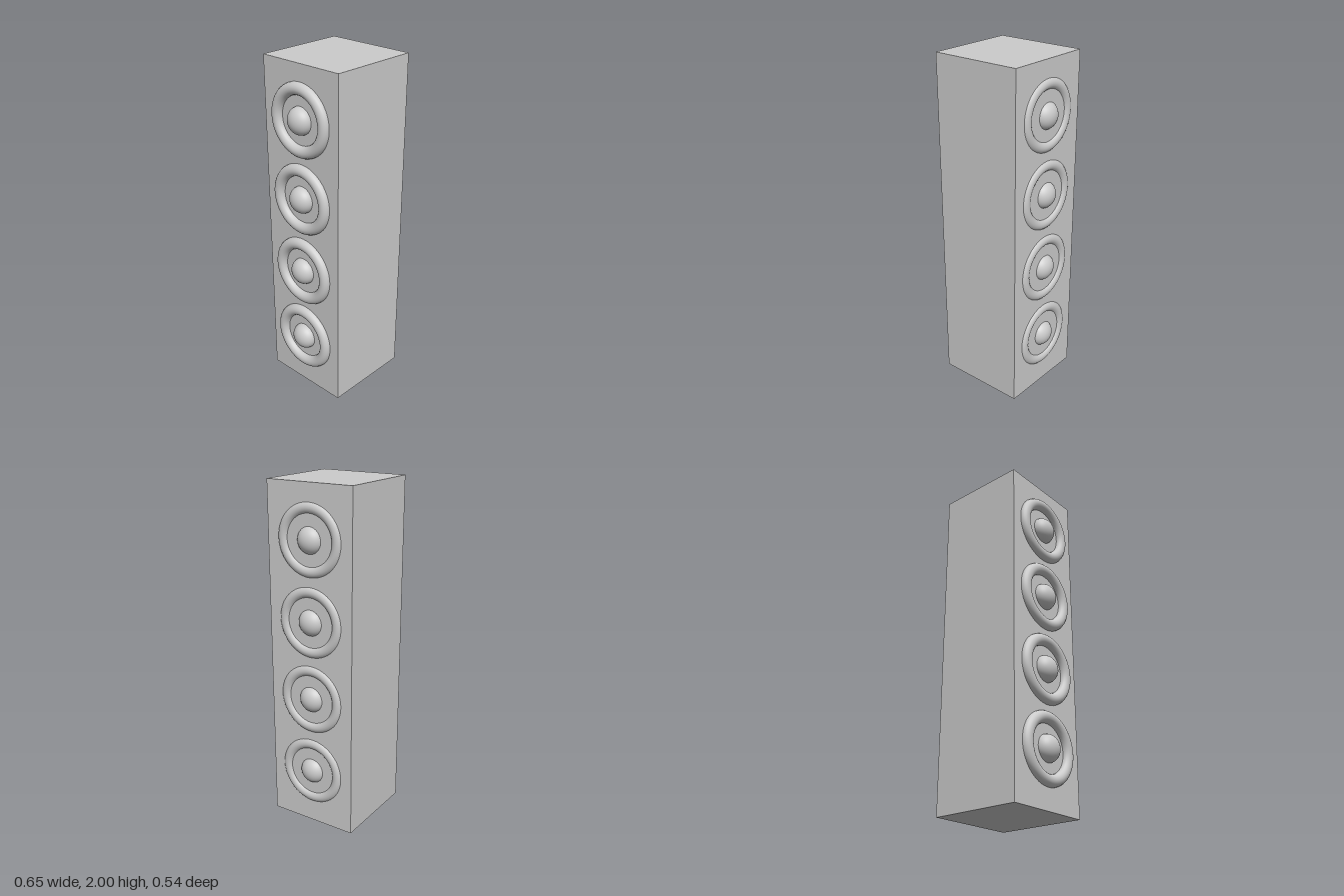
import * as THREE from 'three';

export function createModel() {
  const model = new THREE.Group();
  model.name = 'speakerColumn';
  const material = new THREE.MeshStandardMaterial({ color: 0xcccccc });

  const add = (parent, name, geometry) => {
    const mesh = new THREE.Mesh(geometry, material);
    mesh.name = name;
    parent.add(mesh);
    return mesh;
  };

  // Tall cabinet, set slightly towards +x so the rings stand out less on that side
  add(model, 'cabinet', new THREE.BoxGeometry(0.54, 2, 0.54)).position.set(0.01, 1, 0);

  // Four drivers on each side: a surround ring and a flattened dome
  const ringGeometry = new THREE.TorusGeometry(0.172, 0.035, 20, 64);
  const domeGeometry = new THREE.SphereGeometry(0.078, 40, 24).scale(1, 1, 0.065 / 0.078);

  for (const side of [-1, 1]) {
    for (let i = 0; i < 4; i++) {
      const driver = new THREE.Group();
      driver.name = `${side > 0 ? 'left' : 'right'}Driver${i + 1}`;
      driver.position.set(side * 0.26, 0.332 + i * 0.455, 0);
      driver.rotation.y = side * Math.PI / 2;
      add(driver, 'surroundRing', ringGeometry);
      add(driver, 'dome', domeGeometry);
      model.add(driver);
    }
  }
  return model;
}
